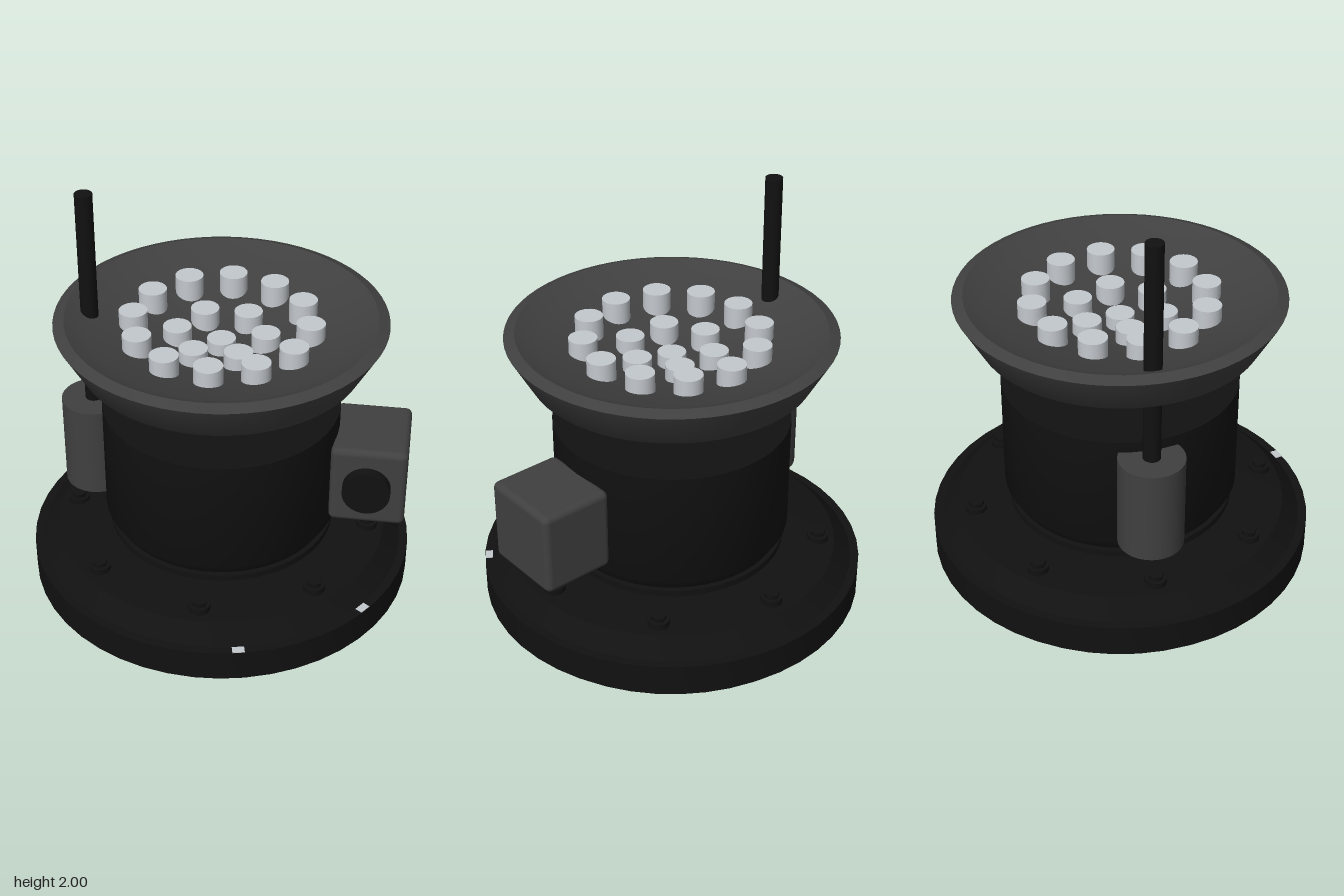
import * as THREE from 'three';
import { toCreasedNormals } from 'three/addons/utils/BufferGeometryUtils.js';
import { RoundedBoxGeometry } from 'three/addons/geometries/RoundedBoxGeometry.js';

const mat = (name, color) => {
  const m = new THREE.MeshStandardMaterial({ color });
  m.name = name;
  return m;
};

export function createModel() {
  const black = mat('black', 0x111111);
  const grey = mat('dark grey', 0x404040);
  const silver = mat('silver', 0xc4c9ce);
  const model = new THREE.Group();
  model.name = 'beacon';

  const add = (name, geometry, material, x = 0, y = 0, z = 0, parent = model) => {
    const mesh = new THREE.Mesh(geometry, material);
    mesh.name = name;
    mesh.position.set(x, y, z);
    parent.add(mesh);
    return mesh;
  };
  // Turned part from a profile of [radius, height], bottom to top
  const turned = (profile, segments = 48) => toCreasedNormals(
    new THREE.LatheGeometry(profile.map(([r, y]) => new THREE.Vector2(r, y)), segments), 0.6);
  const cylinder = (r, h, n = 24) => new THREE.CylinderGeometry(r, r, h, n);

  // Wide foot with a protruding rim band
  add('base', turned([
    [0, 0], [0.75, 0], [0.86, 0.06], [0.86, 0.1], [0.9, 0.1], [0.9, 0.25],
    [0.86, 0.25], [0.78, 0.325], [0.55, 0.35], [0, 0.35],
  ]), black);
  add('collar', cylinder(0.53, 0.05, 48), black, 0, 0.355, 0);
  add('body', turned([[0, 0.37], [0.51, 0.385], [0.55, 0.45], [0.55, 1], [0, 1]]), black);

  // Flanged bolts around the foot
  const bolts = new THREE.Group();
  bolts.name = 'bolts';
  model.add(bolts);
  for (let i = 0; i < 8; i++) {
    const a = i * Math.PI / 4;
    const x = 0.7 * Math.sin(a), z = 0.7 * Math.cos(a);
    add('boltFlange', cylinder(0.05, 0.03, 16), black, x, 0.345, z, bolts);
    add('boltHead', cylinder(0.036, 0.03, 6), black, x, 0.365, z, bolts);
  }

  // Small bright tabs on the rim
  for (const deg of [13, 55]) {
    const a = THREE.MathUtils.degToRad(deg);
    const tab = add('rimTab', new THREE.BoxGeometry(0.055, 0.008, 0.035), silver,
      0.88 * Math.sin(a), 0.25, 0.88 * Math.cos(a));
    tab.rotation.y = a;
  }

  // Hollow dish
  add('dish', turned([
    [0, 1], [0.3, 1.05], [0.65, 1.25], [0.75, 1.43], [0.7, 1.45],
    [0.6, 1.4], [0.3, 1.32], [0, 1.25],
  ], 64), grey);

  // Emitter studs in rings of 1, 6 and 12, following the dish floor
  const studs = new THREE.Group();
  studs.name = 'studs';
  model.add(studs);
  const studGeometry = cylinder(0.065, 0.12);
  for (const [count, radius, top] of [[1, 0, 1.325], [6, 0.2, 1.37], [12, 0.4, 1.435]]) {
    for (let i = 0; i < count; i++) {
      const a = i * 2 * Math.PI / count;
      add('stud', studGeometry, silver, radius * Math.cos(a), top - 0.06, radius * Math.sin(a), studs);
    }
  }

  // Antenna and its socket
  add('antennaSocket', cylinder(0.15, 0.45, 32), grey, -0.6, 0.725, 0);
  add('antenna', cylinder(0.04, 1.1), black, -0.6, 1.45, 0);

  // Side box with a front dial
  add('sideBox', new RoundedBoxGeometry(0.35, 0.4, 0.4, 3, 0.03), grey, 0.7, 0.7, 0);
  const dial = add('dial', cylinder(0.11, 0.1, 32), black, 0.695, 0.705, 0.2);
  dial.rotation.x = Math.PI / 2;

  return model;
}
